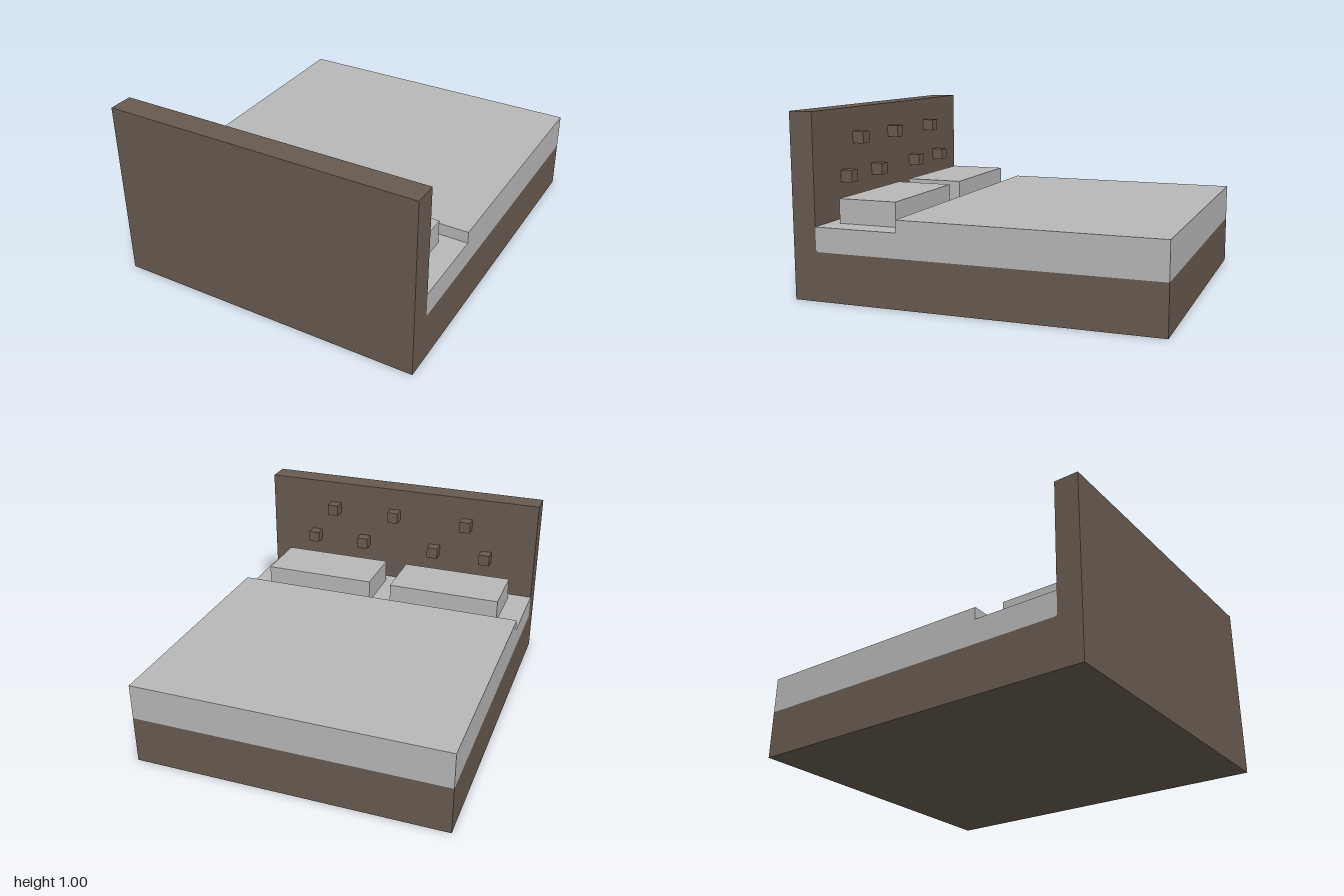
import * as THREE from 'three';

const U = 1 / 15; // modelling unit
const WIDTH = 26 * U;

export function createModel() {
  const model = new THREE.Group();
  model.name = 'doubleBed';

  const wood = new THREE.MeshStandardMaterial({ color: 0x685b50 });
  wood.name = 'brown wood';
  const linen = new THREE.MeshStandardMaterial({ color: 0xb8b8b8 });
  linen.name = 'light grey linen';

  const add = (name, geometry, material) => {
    const mesh = new THREE.Mesh(geometry, material);
    mesh.name = name;
    model.add(mesh);
    return mesh;
  };

  // Side profile given as [z, y] in units, extruded across the bed's width
  const addProfile = (name, points, material) => {
    const shape = new THREE.Shape(points.map(([z, y]) => new THREE.Vector2(-z * U, y * U)));
    const geometry = new THREE.ExtrudeGeometry(shape, { depth: WIDTH, bevelEnabled: false });
    geometry.translate(0, 0, -WIDTH / 2).rotateY(Math.PI / 2);
    return add(name, geometry, material);
  };

  // Box given by its centre x, bottom y, centre z and size, all in units
  const addBox = (name, [x, y, z], [w, h, d], material) => {
    const mesh = add(name, new THREE.BoxGeometry(w * U, h * U, d * U), material);
    mesh.position.set(x * U, (y + h / 2) * U, z * U);
    return mesh;
  };

  // Base and headboard in one piece, with a small fillet where they meet
  addProfile('frameAndHeadboard', [
    [15, 0], [15, 15], [13, 15], [13, 4.2], [12.94, 4.06], [12.8, 4], [-15, 4], [-15, 0],
  ], wood);

  // Mattress with the thicker blanket over its foot end
  addProfile('mattressAndBlanket', [
    [12.8, 4], [12.94, 4.06], [13, 4.2], [13, 6], [6, 6], [6, 7], [-15, 7], [-15, 4],
  ], linen);

  // Pillows
  for (const side of [-1, 1]) {
    addBox(side > 0 ? 'leftPillow' : 'rightPillow', [side * 6, 6, 9.5], [10, 2, 5], linen);
  }

  // Two staggered rows of headboard studs
  const rows = [
    { y: 12, xs: [-6.5, 0.5, 6.5] },
    { y: 9, xs: [-8.5, -3.5, 3.5, 8.5] },
  ];
  for (const { y, xs } of rows) {
    for (const x of xs) addBox('headboardStud', [x, y, 12.5], [1, 1, 1], wood);
  }

  return model;
}
